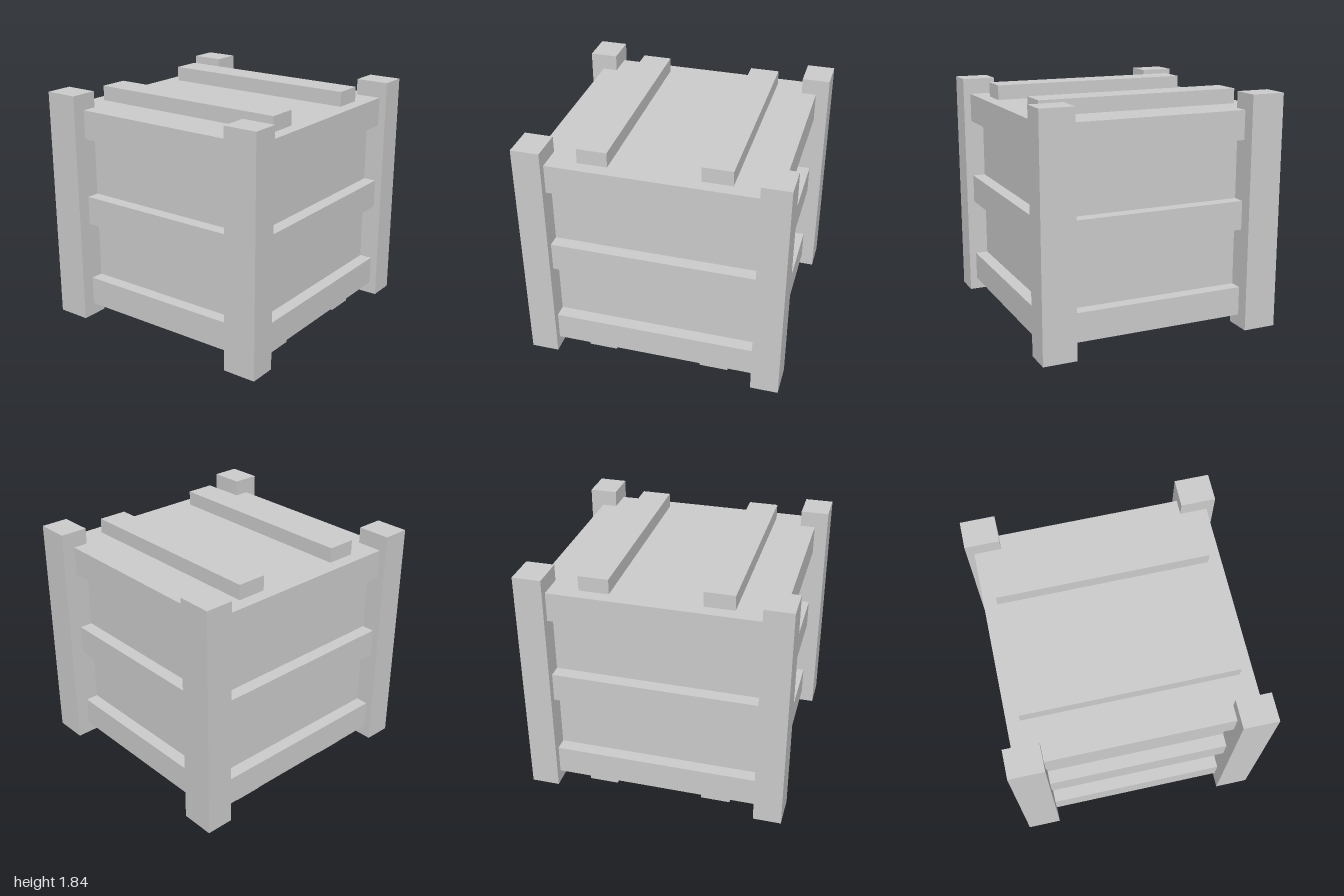
import * as THREE from 'three';

export function createModel() {
  const crate = new THREE.Group();
  crate.name = 'crate';
  const material = new THREE.MeshStandardMaterial({ color: 0xcccccc, flatShading: true });

  // Box given by its minimum and maximum corners
  function addBox(name, [x0, y0, z0], [x1, y1, z1]) {
    const mesh = new THREE.Mesh(new THREE.BoxGeometry(x1 - x0, y1 - y0, z1 - z0), material);
    mesh.position.set((x0 + x1) / 2, (y0 + y1) / 2, (z0 + z1) / 2);
    mesh.name = name;
    crate.add(mesh);
    return mesh;
  }

  const bottom = 0.115, top = 1.715;
  const inner = 0.8, outer = 0.9; // recessed panels and slat faces
  const postX = 0.785, postZ = 0.695; // inner faces of the posts

  // Recessed body
  addBox('body', [-inner, bottom, -inner], [inner, top, inner]);

  // Three rows of slats around the four sides
  for (const [y0, y1] of [[bottom, 0.34], [0.8, 1.025], [1.49, top]]) {
    for (const [frontName, sideName, s] of [['frontSlat', 'leftSlat', 1], ['backSlat', 'rightSlat', -1]]) {
      const a = Math.min(s * inner, s * outer), b = Math.max(s * inner, s * outer);
      addBox(frontName, [-postX, y0, a], [postX, y1, b]);
      addBox(sideName, [a, y0, -postZ], [b, y1, postZ]);
    }
  }

  for (const sx of [-1, 1]) {
    // Corner posts
    for (const sz of [-1, 1]) {
      const post = addBox('cornerPost', [postX, 0.02, postZ], [1, 1.84, 0.957]);
      post.position.x *= sx;
      post.position.z *= sz;
    }
    // Battens on the lid and runners under the floor
    const batten = addBox('topBatten', [0.343, top, -0.8], [0.57, 1.83, 0.8]);
    const runner = addBox('bottomRunner', [0.343, 0, -0.8], [0.57, bottom, 0.8]);
    batten.position.x *= sx;
    runner.position.x *= sx;
  }

  return crate;
}
